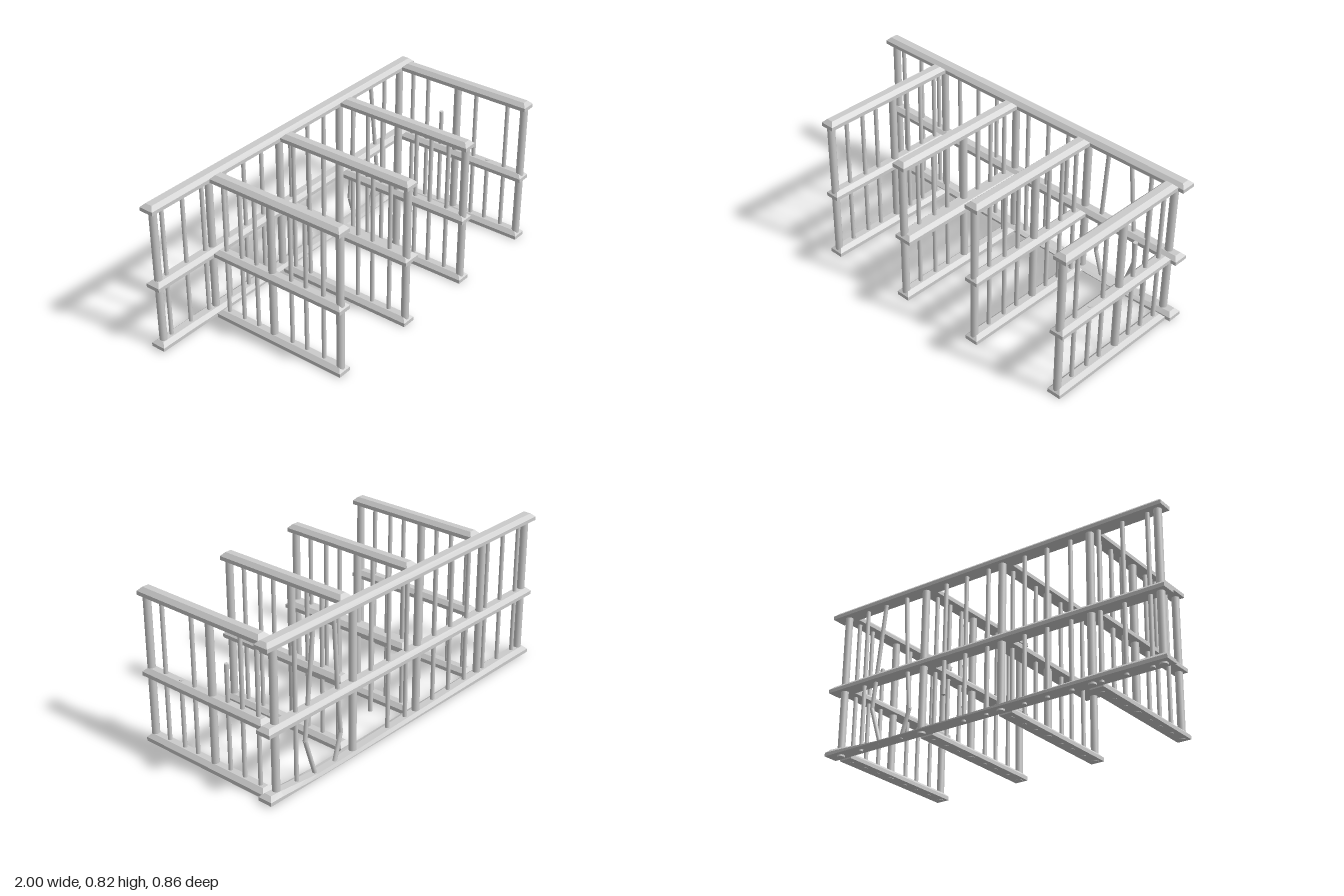
import * as THREE from 'three';

const steel = new THREE.MeshStandardMaterial({ color: 0xcccccc });
const flat = new THREE.MeshStandardMaterial({ color: 0xcccccc, flatShading: true });
const BACK_Z = -0.39;
const THICK = 0.02, THIN = 0.011;

function add(parent, name, geometry, material) {
  const mesh = new THREE.Mesh(geometry, material);
  mesh.name = name;
  parent.add(mesh);
  return mesh;
}

// Box rail whose upper half tapers inward on all four sides
function railGeometry(sx, sy, sz, segments = 1) {
  const inset = 0.02;
  const geo = new THREE.BoxGeometry(sx, sy, sz, segments, 2, 1);
  const p = geo.attributes.position;
  for (let i = 0; i < p.count; i++) {
    if (p.getY(i) < sy * 0.25) continue;
    p.setX(i, THREE.MathUtils.clamp(p.getX(i), inset - sx / 2, sx / 2 - inset));
    p.setZ(i, THREE.MathUtils.clamp(p.getZ(i), inset - sz / 2, sz / 2 - inset));
  }
  geo.computeVertexNormals();
  return geo;
}

// Upright round bar from y0 to y1
function bar(parent, name, x, z, r, y0 = 0, y1 = 0.795) {
  const geo = new THREE.CylinderGeometry(r, r, y1 - y0, 12);
  add(parent, name, geo, steel).position.set(x, (y0 + y1) / 2, z);
}

// Bar made of straight pieces through a few [x, y] points
function bentBar(parent, points) {
  const up = new THREE.Vector3(0, 1, 0);
  points.slice(1).forEach(([x1, y1], i) => {
    const a = new THREE.Vector3(points[i][0], points[i][1], BACK_Z);
    const b = new THREE.Vector3(x1, y1, BACK_Z);
    const d = b.clone().sub(a);
    const geo = new THREE.CylinderGeometry(THIN, THIN, d.length() + 0.003, 12);
    const piece = add(parent, 'bentBar', geo, steel);
    piece.position.copy(a).add(b).multiplyScalar(0.5);
    piece.quaternion.setFromUnitVectors(up, d.normalize());
  });
}

// Long rear grille with a crushed bottom rail and damaged bars
function backPanel() {
  const g = new THREE.Group();
  g.name = 'backPanel';
  for (const [name, y] of [['topRail', 0.798], ['middleRail', 0.376]]) {
    add(g, name, railGeometry(2, 0.038, 0.08), flat).position.set(0, y, BACK_Z);
  }

  // Bottom rail is squashed flat between the bent bars
  const geo = railGeometry(2, 0.038, 0.08, 24);
  const p = geo.attributes.position;
  for (let i = 0; i < p.count; i++) {
    const x = p.getX(i);
    const t = x < 0.5 ? (x + 0.8) / 1.3 : x > 0.67 ? (0.95 - x) / 0.28 : 1;
    const squash = 1 - 0.8 * THREE.MathUtils.clamp(t, 0, 1);
    p.setY(i, (p.getY(i) + 0.019) * squash + 0.01);
  }
  geo.computeVertexNormals();
  add(g, 'crushedBottomRail', geo, flat).position.z = BACK_Z;

  for (const x of [-0.96, -0.59, -0.08, 0.4, 0.925]) bar(g, 'post', x, BACK_Z, THICK);
  for (const x of [-0.905, -0.77, -0.64, -0.48, -0.345, -0.215, 0.005, 0.14, 0.79]) {
    bar(g, 'bar', x, BACK_Z, THIN);
  }
  bar(g, 'brokenBar', 0.27, BACK_Z, THIN, 0.175);
  bentBar(g, [[0.53, 0.795], [0.507, 0.4], [0.485, 0.155], [0.53, 0.01]]);
  bentBar(g, [[0.665, 0.795], [0.73, 0.215], [0.665, 0.01]]);
  return g;
}

// Grille dividing two stalls, reaching forward from the back panel
function dividerPanel(x, middleWidth, cutBars) {
  const g = new THREE.Group();
  g.name = 'dividerPanel';
  g.position.x = x;
  for (const [name, y, w] of [
    ['topRail', 0.8, 0.076], ['middleRail', 0.38, middleWidth], ['bottomRail', 0.022, 0.076],
  ]) {
    const rail = add(g, name, railGeometry(w, 0.04, 0.78), flat);
    rail.position.set((w - 0.076) / 2, y, 0.04);
  }
  for (const z of [0.405, -0.007]) bar(g, 'post', 0, z, THICK);
  for (const z of [0.305, 0.2, 0.11, -0.107, -0.2, -0.3]) {
    bar(g, 'bar', 0, z, THIN, 0, cutBars[z] ?? 0.795);
  }
  return g;
}

export function createModel() {
  const model = new THREE.Group();
  model.name = 'barredStalls';
  model.add(backPanel());
  model.add(dividerPanel(-0.585, 0.076, {}));
  model.add(dividerPanel(-0.077, 0.1, {}));
  model.add(dividerPanel(0.4, 0.076, {}));
  model.add(dividerPanel(0.932, 0.076, { 0.2: 0.403, '-0.107': 0.595 }));
  return model;
}
